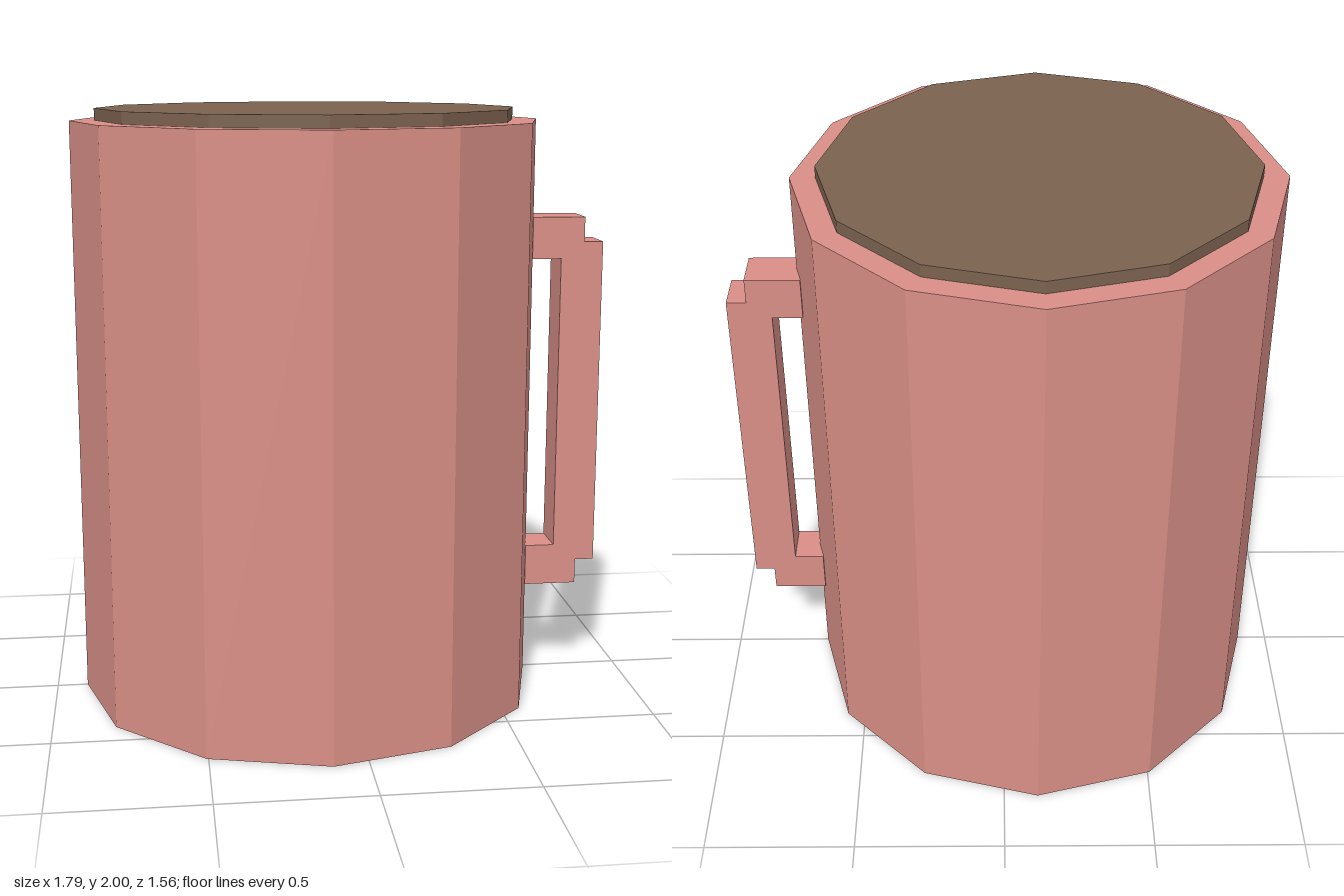
import * as THREE from 'three';

const SIDES = 12;
const CENTRE_X = -0.115;

function material(color) {
  return new THREE.MeshStandardMaterial({ color, flatShading: true });
}

// Upright faceted cylinder between two heights
function drum(name, radius, bottom, top, mat) {
  const mesh = new THREE.Mesh(new THREE.CylinderGeometry(radius, radius, top - bottom, SIDES), mat);
  mesh.name = name;
  mesh.position.set(CENTRE_X, (bottom + top) / 2, 0);
  return mesh;
}

export function createModel() {
  const group = new THREE.Group();
  group.name = 'mug';
  const clay = material(0xd98f87);
  const coffee = material(0x7b6250);

  // Body, and the drink standing slightly proud of the rim
  group.add(drum('body', 0.782, 0, 1.96, clay));
  group.add(drum('drink', 0.7, 1.9, 2, coffee));

  // Stepped handle: upper half of the outline, mirrored about its middle height
  const middle = 0.982;
  const half = [[0.75, 0.508], [0.65, 0.508], [0.65, 0.65], [0.83, 0.65], [0.83, 0.565], [0.895, 0.565]];
  const upper = half.map(([x, y]) => new THREE.Vector2(x, middle + y));
  const lower = half.map(([x, y]) => new THREE.Vector2(x, middle - y)).reverse();
  const depth = 0.144;
  const geometry = new THREE.ExtrudeGeometry(new THREE.Shape([...upper, ...lower]), { depth, bevelEnabled: false });
  geometry.translate(0, 0, -depth / 2);
  const handle = new THREE.Mesh(geometry, clay);
  handle.name = 'handle';
  group.add(handle);

  return group;
}
